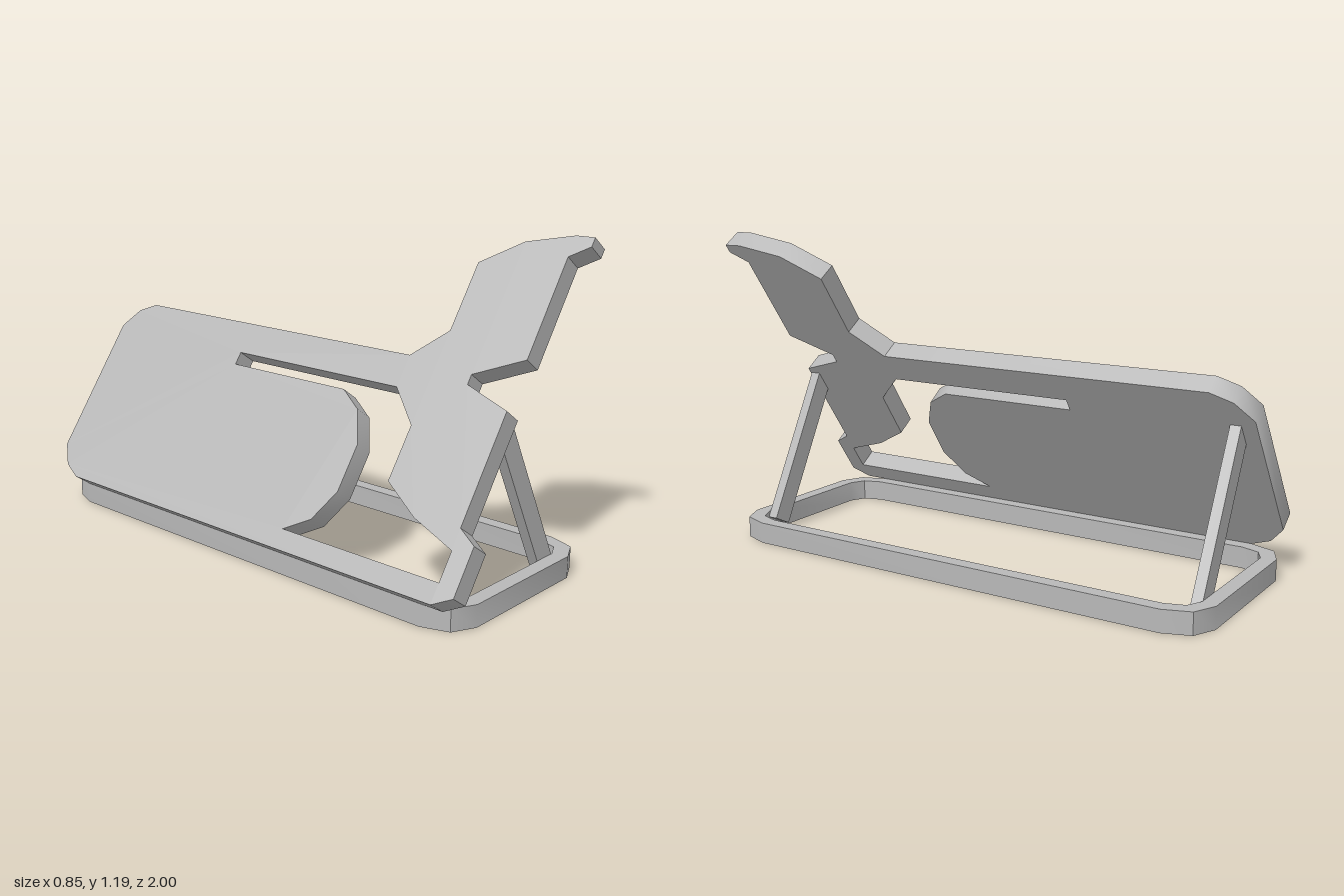
import * as THREE from 'three';
import { toCreasedNormals } from 'three/addons/utils/BufferGeometryUtils.js';

const toPoints = (list) => list.map(([x, y]) => new THREE.Vector2(x, y));

// Flat-sided slab from an outline and optional holes, with soft shallow corners
function slab(outline, depth, holes = []) {
  const shape = new THREE.Shape(toPoints(outline));
  shape.holes = holes.map((h) => new THREE.Path(toPoints(h)));
  const geo = new THREE.ExtrudeGeometry(shape, { depth, bevelEnabled: false });
  return toCreasedNormals(geo, 0.72);
}

// Rectangle whose corners are cut in two facets
function roundedRect(x0, x1, y0, y1, rx, ry) {
  const pts = [];
  const corners = [[x1 - rx, y1 - ry], [x0 + rx, y1 - ry], [x0 + rx, y0 + ry], [x1 - rx, y0 + ry]];
  corners.forEach(([cx, cy], q) => {
    for (let i = 0; i <= 2; i++) {
      const a = (q + i / 2) * Math.PI / 2;
      pts.push([cx + rx * Math.cos(a), cy + ry * Math.sin(a)]);
    }
  });
  return pts;
}

export function createModel() {
  const group = new THREE.Group();
  const grey = new THREE.MeshStandardMaterial({ color: 0xb8b8b8 });
  grey.name = 'plain grey';

  const add = (name, geo) => {
    const mesh = new THREE.Mesh(geo, grey);
    mesh.name = name;
    group.add(mesh);
    return mesh;
  };

  // Leaning panel with a forked tail: (length along z, height up the slope)
  const outline = [
    [-0.86, 0], [0.93, 0], [1, 0.04], [1, 0.214], [0.93, 0.256], [0.93, 0.66],
    [0.75, 0.72], [0.75, 0.757], [0.93, 0.842], [0.93, 1.22], [1, 1.265], [1, 1.3],
    [0.93, 1.3], [0.75, 1.258], [0.6, 1.16], [0.6, 0.896], [0.48, 0.782],
    [-0.86, 0.782], [-0.94, 0.745], [-1, 0.666], [-1, 0.114], [-0.94, 0.037],
  ];
  // Opening between the rounded body, the tail and the two bars
  const opening = [
    [0.93, 0.073], [0.26, 0.073], [0.36, 0.135], [0.42, 0.253], [0.42, 0.43],
    [0.36, 0.55], [0.265, 0.61], [-0.285, 0.61], [-0.285, 0.66], [0.48, 0.66],
    [0.6, 0.54], [0.6, 0.336], [0.75, 0.245], [0.93, 0.18],
  ];
  const lean = THREE.MathUtils.degToRad(55);
  const c = Math.cos(lean), s = Math.sin(lean);
  const panel = slab(outline, 0.08, [opening]);
  panel.applyMatrix4(new THREE.Matrix4().makeBasis(
    new THREE.Vector3(0, 0, 1), new THREE.Vector3(c, s, 0), new THREE.Vector3(-s, c, 0),
  ).setPosition(-0.36, 0.08, 0));
  add('leaningPanel', panel);

  // Base ring lying on the ground
  const ring = slab(roundedRect(-0.36, 0.42, -0.978, 1, 0.12, 0.14), 0.08,
    [roundedRect(-0.305, 0.365, -0.923, 0.945, 0.08, 0.1)]);
  ring.rotateX(-Math.PI / 2);
  add('baseRing', ring);

  // Two slanted struts from the ring to the underside of the panel
  const strut = [[0.22, 0.022], [0.29, 0.058], [0.005, 0.605], [-0.045, 0.53]];
  for (const [name, z] of [['frontStrut', 0.883], ['backStrut', -0.945]]) {
    add(name, slab(strut, 0.04)).position.z = z;
  }
  return group;
}
